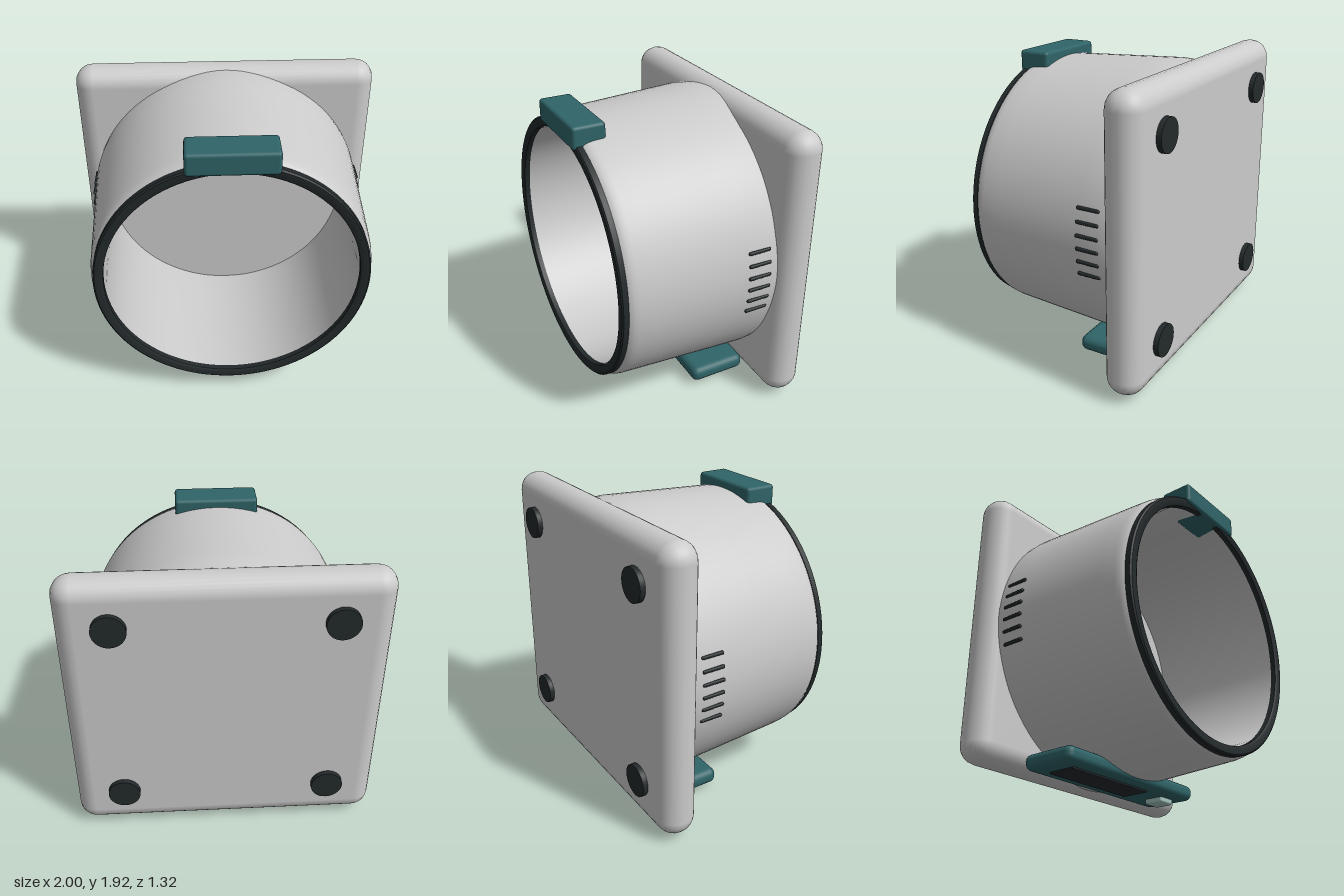
import * as THREE from 'three';
import { toCreasedNormals } from 'three/addons/utils/BufferGeometryUtils.js';
import { RoundedBoxGeometry } from 'three/addons/geometries/RoundedBoxGeometry.js';

const AXIS_Y = 0.98; // height of the drum axis

const grey = new THREE.MeshStandardMaterial({ color: 0xcccccc });
const teal = new THREE.MeshStandardMaterial({ color: 0x2f6468 });
const black = new THREE.MeshStandardMaterial({ color: 0x23292b });
const mint = new THREE.MeshStandardMaterial({ color: 0xa4c4be });

export function createModel() {
  const model = new THREE.Group();

  function add(name, geometry, material, x, y, z) {
    const mesh = new THREE.Mesh(geometry, material);
    mesh.name = name;
    mesh.position.set(x, y, z);
    model.add(mesh);
    return mesh;
  }

  // Rounded box given by its lower and upper corners
  function block(name, material, min, max, radius, segments = 3) {
    const size = max.map((v, i) => v - min[i]);
    const mid = max.map((v, i) => (v + min[i]) / 2);
    return add(name, new RoundedBoxGeometry(...size, segments, radius), material, ...mid);
  }

  // Solid of revolution about the z axis, profile as [radius, z]
  function turned(name, material, profile) {
    const points = profile.map(([r, z]) => new THREE.Vector2(r, z));
    const geometry = new THREE.LatheGeometry(points, 96).rotateX(Math.PI / 2);
    return add(name, toCreasedNormals(geometry, 0.6), material, 0, AXIS_Y, 0);
  }

  // Square back plate
  block('backPlate', grey, [-1, 0.04, -0.627], [1, 1.92, -0.38], 0.12);

  // Hollow tapered drum: outer wall, rounded lip, inner wall
  turned('drum', grey, [
    [0.918, -0.47], [0.924, -0.38], [0.928, -0.33], [0.922, -0.2], [0.907, 0.1],
    [0.891, 0.42], [0.885, 0.53], [0.88, 0.56], [0.87, 0.585], [0.855, 0.6],
    [0.803, 0.6], [0.81, 0.3], [0.82, -0.1], [0.83, -0.39],
  ]);

  // Dark seal around the opening
  turned('sealRing', black, [
    [0.8, 0.595], [0.865, 0.595], [0.865, 0.63], [0.855, 0.638],
    [0.812, 0.638], [0.8, 0.63], [0.8, 0.595],
  ]);

  // Latch over the top of the opening
  block('latch', teal, [-0.275, 1.775, 0.44], [0.275, 1.922, 0.655], 0.022);

  // Control panel under the drum with its display and button
  block('controlPanel', teal, [-0.633, 0.04, -0.39], [0.633, 0.145, 0], 0.045);
  block('display', black, [-0.51, 0.028, -0.28], [0.21, 0.06, -0.08], 0.006);
  block('button', mint, [0.39, 0.005, -0.24], [0.525, 0.055, -0.1], 0.014);

  // Vent slots on both sides, following the curve of the drum
  for (const side of [-1, 1]) {
    for (let i = 0; i < 6; i++) {
      const dy = (i - 2.5) * 0.083;
      const r = 0.922;
      const vent = add('vent', new RoundedBoxGeometry(0.03, 0.022, 0.155, 2, 0.009), black,
        side * Math.sqrt(r * r - dy * dy), AXIS_Y + dy, -0.26);
      vent.rotation.z = side * Math.asin(dy / r);
    }
  }

  // Round feet on the back plate
  for (const x of [-0.677, 0.677]) {
    for (const y of [0.335, 1.628]) {
      add('foot', new THREE.CylinderGeometry(0.105, 0.105, 0.05, 32).rotateX(Math.PI / 2),
        black, x, y, -0.635);
    }
  }

  return model;
}
